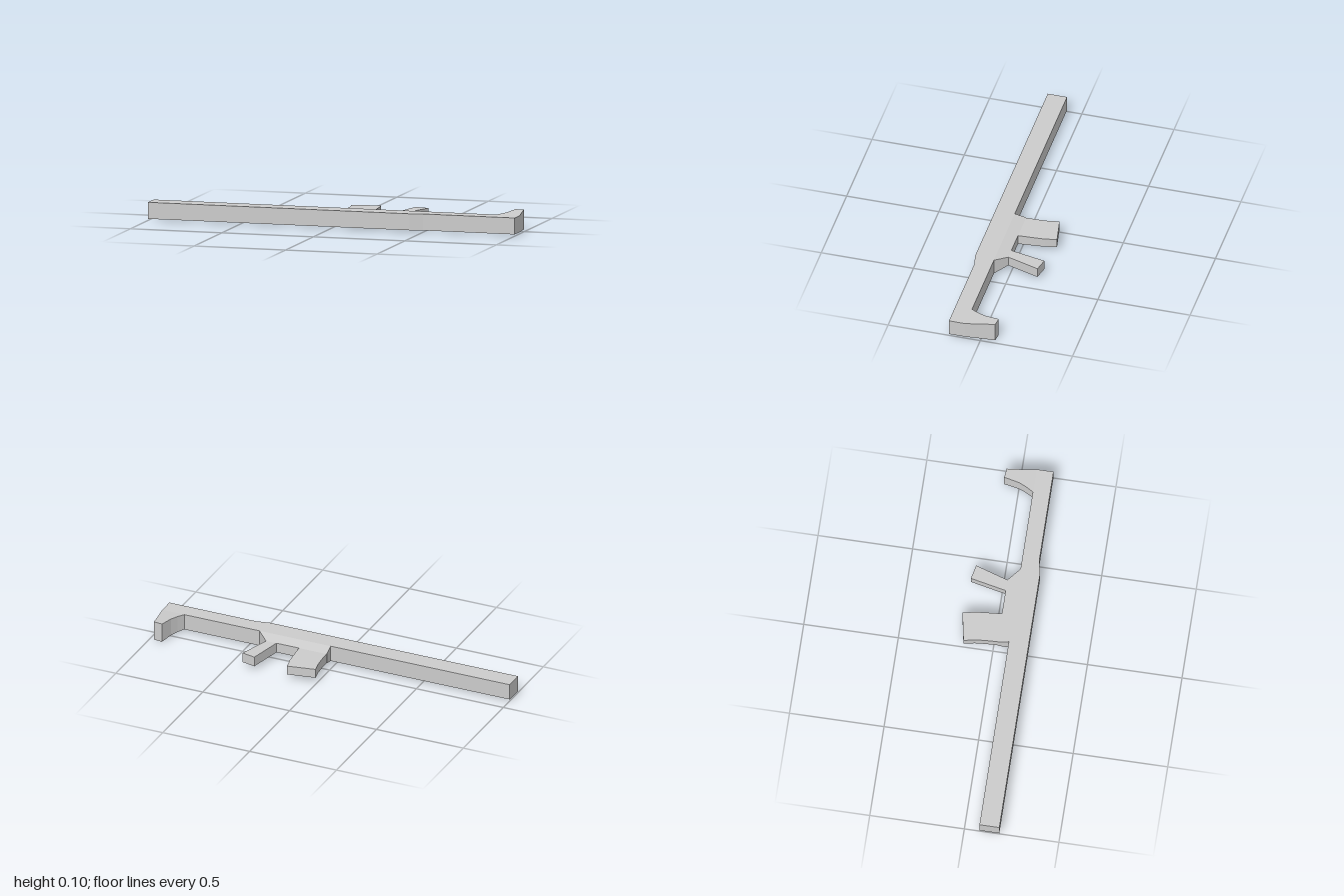
import * as THREE from 'three';

const MID_Y = 0.0525;
const material = new THREE.MeshStandardMaterial({ color: 0xcccccc, flatShading: true });

// Slab with an outline of [x, z] points; halfHeight(z) sets its thickness along z.
function slab(name, outline, halfHeight) {
  const shape = new THREE.Shape(outline.map(([x, z]) => new THREE.Vector2(x, z)));
  const geometry = new THREE.ExtrudeGeometry(shape, { depth: 1, bevelEnabled: false });
  geometry.rotateX(Math.PI / 2);
  const p = geometry.attributes.position;
  for (let i = 0; i < p.count; i++) {
    const side = p.getY(i) > -0.5 ? 1 : -1;
    p.setY(i, MID_Y + side * halfHeight(p.getZ(i)));
  }
  geometry.computeVertexNormals();
  const mesh = new THREE.Mesh(geometry, material);
  mesh.name = name;
  return mesh;
}

// Linear thickness between two depths
const taper = (z0, h0, z1, h1) => (z) => h0 + ((h1 - h0) * (z - z0)) / (z1 - z0);

export function createModel() {
  const group = new THREE.Group();
  group.name = 'model';
  group.add(
    // Long bar, slightly slimmer toward +x
    slab('bar', [[-1, 0.08], [1, 0.08], [1, 0.17], [0.5, 0.17], [0.43, 0.185], [-1, 0.185]], () => 0.0435),
    // Sloped base carrying the two prongs
    slab('prongBase', [[0.03, 0.08], [0.44, 0.08], [0.375, 0.02], [0.187, 0.02], [0.025, 0.02]],
      taper(0.08, 0.0435, 0.02, 0.027)),
    // Wide curved prong
    slab('wideProng', [[0.027, 0.02], [0.025, -0.04], [0.02, -0.1], [0.008, -0.157],
      [0.16, -0.185], [0.174, -0.12], [0.18, -0.05], [0.185, 0.02]],
      taper(0.02, 0.027, -0.185, 0.0245)),
    // Narrow slanted prong
    slab('narrowProng', [[0.315, 0.02], [0.355, -0.17], [0.43, -0.153], [0.375, 0.02]], () => 0.027),
    // Flared hook at the end of the bar
    slab('endHook', [[0.873, 0.08], [0.895, 0.04], [0.912, 0], [0.928, -0.08],
      [0.977, -0.074], [0.985, -0.01], [1, 0.08]],
      taper(0.08, 0.0435, -0.08, 0.0525)),
  );
  return group;
}
